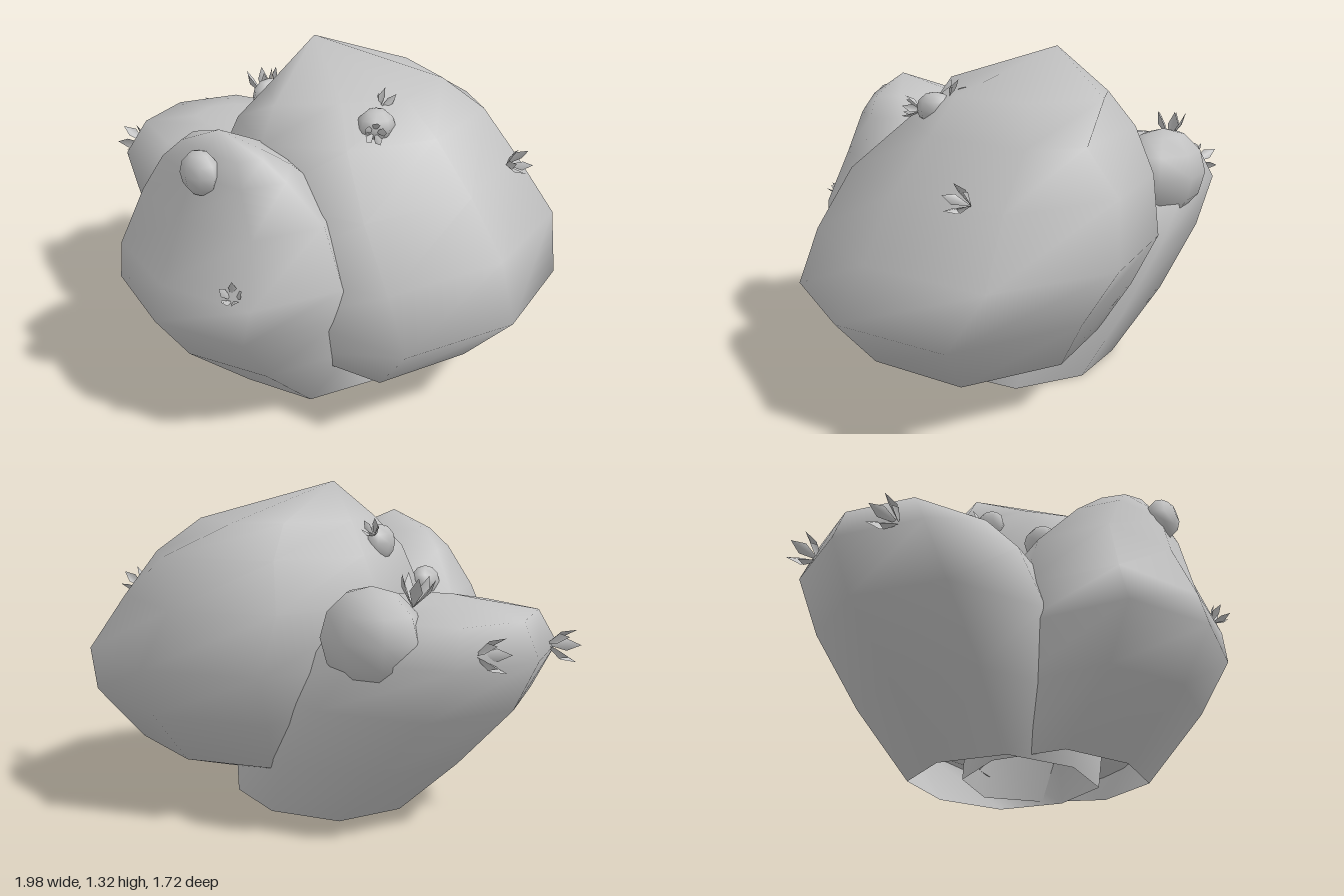
import * as THREE from 'three';
import { mergeVertices } from 'three/addons/utils/BufferGeometryUtils.js';

const SIDES = 8;

// Smooth open-bottomed lump, lofted through slices [y, xMin, xMax, zMin, zMax].
// Corners say how far the diagonals reach, in the order +x+z, -x+z, -x-z, +x-z;
// a slice may add its own corners and a sideways shift of its rear point.
function lobeGeometry(lobeCorners, slices) {
  const positions = [], index = [];
  for (const [y, x0, x1, z0, z1, corners = lobeCorners, rearShift = 0] of slices) {
    for (let i = 0; i < SIDES; i++) {
      const a = (i / SIDES) * Math.PI * 2;
      const reach = i % 2 ? corners[(i - 1) / 2] * Math.SQRT2 : 1;
      positions.push(
        (x0 + x1) / 2 + reach * Math.cos(a) * (x1 - x0) / 2 + (i === 6 ? rearShift : 0), y,
        (z0 + z1) / 2 + reach * Math.sin(a) * (z1 - z0) / 2);
    }
  }
  for (let r = 0; r < slices.length - 1; r++) {
    for (let i = 0; i < SIDES; i++) {
      const j = (i + 1) % SIDES, a = r * SIDES, b = a + SIDES;
      index.push(a + i, b + i, a + j, a + j, b + i, b + j);
    }
  }
  let g = new THREE.BufferGeometry();
  g.setAttribute('position', new THREE.Float32BufferAttribute(positions, 3));
  g.setIndex(index);
  g = mergeVertices(g);
  g.computeVertexNormals();
  return g;
}

// Pointed leaf growing along +y from the origin, slightly folded
function leafGeometry(length, width) {
  const g = new THREE.BufferGeometry();
  g.setAttribute('position', new THREE.Float32BufferAttribute([
    0, 0, 0, width / 2, length * 0.6, 0.008, 0, length, 0, -width / 2, length * 0.6, 0.008], 3));
  g.setIndex([0, 1, 2, 0, 2, 3]);
  g.computeVertexNormals();
  return g;
}

export function createModel() {
  const model = new THREE.Group();
  const stone = new THREE.MeshStandardMaterial({ color: 0xc0c0c0, side: THREE.DoubleSide });
  stone.name = 'paleGrey';

  const add = (name, geometry, parent = model) => {
    const mesh = new THREE.Mesh(geometry, stone);
    mesh.name = name;
    parent.add(mesh);
    return mesh;
  };

  // Three large lobes leaning away from a shared base
  add('largeLobe', lobeGeometry([0.8, 0.78, 0.7, 0.8], [
    [0.10, -0.05, 0.52, -0.30, 0.10],
    [0.20, -0.20, 0.80, -0.61, 0.36],
    [0.41, -0.32, 0.99, -0.75, 0.43],
    [0.62, -0.36, 0.89, -0.855, 0.44],
    [0.85, -0.37, 0.74, -0.78, 0.42, [0.77, 0.74, 0.7, 0.78]],
    [1.04, -0.27, 0.56, -0.71, 0.36, [0.64, 0.73, 0.7, 0.78], 0.14],
    [1.17, -0.19, 0.42, -0.57, 0.26, [0.52, 0.65, 0.7, 0.75], -0.06],
    [1.32, -0.10, -0.10, -0.16, -0.16],
  ]));
  add('frontLobe', lobeGeometry([0.76, 0.8, 0.7, 0.6], [
    [0.015, -0.23, 0.50, -0.30, 0.44],
    [0.26, -0.31, 0.54, -0.25, 0.72],
    [0.46, -0.37, 0.57, -0.20, 0.86],
    [0.60, -0.39, 0.59, -0.10, 0.82],
    [0.83, -0.31, 0.50, 0.02, 0.72],
    [1.00, -0.17, 0.40, 0.25, 0.67],
    [1.08, -0.07, 0.33, 0.40, 0.62],
    [1.16, 0.15, 0.15, 0.56, 0.56],
  ]));
  add('sideLobe', lobeGeometry([0.75, 0.75, 0.74, 0.75], [
    [0.00, -0.38, 0.38, -0.43, 0.28],
    [0.25, -0.65, 0.36, -0.51, 0.38],
    [0.50, -0.88, 0.20, -0.53, 0.43],
    [0.70, -0.98, 0.00, -0.52, 0.42],
    [0.84, -0.92, -0.15, -0.42, 0.30],
    [0.88, -0.68, -0.33, -0.20, 0.10],
    [0.885, -0.50, -0.50, -0.05, -0.05],
  ]));

  // Small rounded lobe at the back
  const small = add('smallLobe', new THREE.SphereGeometry(1, 8, 6));
  small.scale.set(0.21, 0.19, 0.165);
  small.position.set(-0.49, 0.775, -0.40);

  // Buds: position, then radii
  const budGeometry = new THREE.SphereGeometry(1, 8, 6);
  const buds = [
    [[0.15, 1.02, 0.655], [0.083, 0.085, 0.067]],
    [[-0.52, 0.735, 0.29], [0.083, 0.065, 0.07]],
    [[-0.20, 1.07, 0.01], [0.05, 0.075, 0.08]],
    [[-0.215, 0.88, 0.305], [0.055, 0.07, 0.075]],
    [[0.40, 1.10, 0.00], [0.07, 0.065, 0.08]],
  ];
  for (const [position, radii] of buds) {
    const bud = add('bud', budGeometry);
    bud.position.set(...position);
    bud.scale.set(...radii);
  }

  // Tufts of leaves: root, growing direction, size
  const leaf = leafGeometry(0.1, 0.035);
  const up = new THREE.Vector3(0, 1, 0);
  const tufts = [
    [[-0.62, 0.89, -0.33], [-0.15, 1, 0.1], 1.35],
    [[-0.87, 0.71, 0.19], [-1, 0.05, 0.1], 1.35],
    [[-0.85, 0.74, -0.28], [-1, 0.1, 0.1], 1.35],
    [[0.38, 0.61, 0.71], [0.4, 0.7, 0.5], 0.9],
    [[0.65, 0.86, -0.52], [0.8, 0.4, 0.0], 1.1],
    [[0.37, 1.14, -0.05], [-0.1, 0.5, -0.8], 0.9],
    [[0.43, 1.09, 0.04], [0.6, 0.2, 0.6], 0.9],
    [[-0.21, 1.10, -0.04], [-0.2, 0.6, -0.6], 0.8],
  ];
  for (const [root, direction, size] of tufts) {
    const tuft = new THREE.Group();
    tuft.name = 'leafTuft';
    for (let i = 0; i < 5; i++) {
      const blade = add('leaf', leaf, tuft);
      blade.rotation.set(0.5, (i / 5) * Math.PI * 2, 0, 'YXZ');
    }
    tuft.position.set(...root);
    tuft.quaternion.setFromUnitVectors(up, new THREE.Vector3(...direction).normalize());
    tuft.scale.setScalar(size);
    model.add(tuft);
  }
  return model;
}
